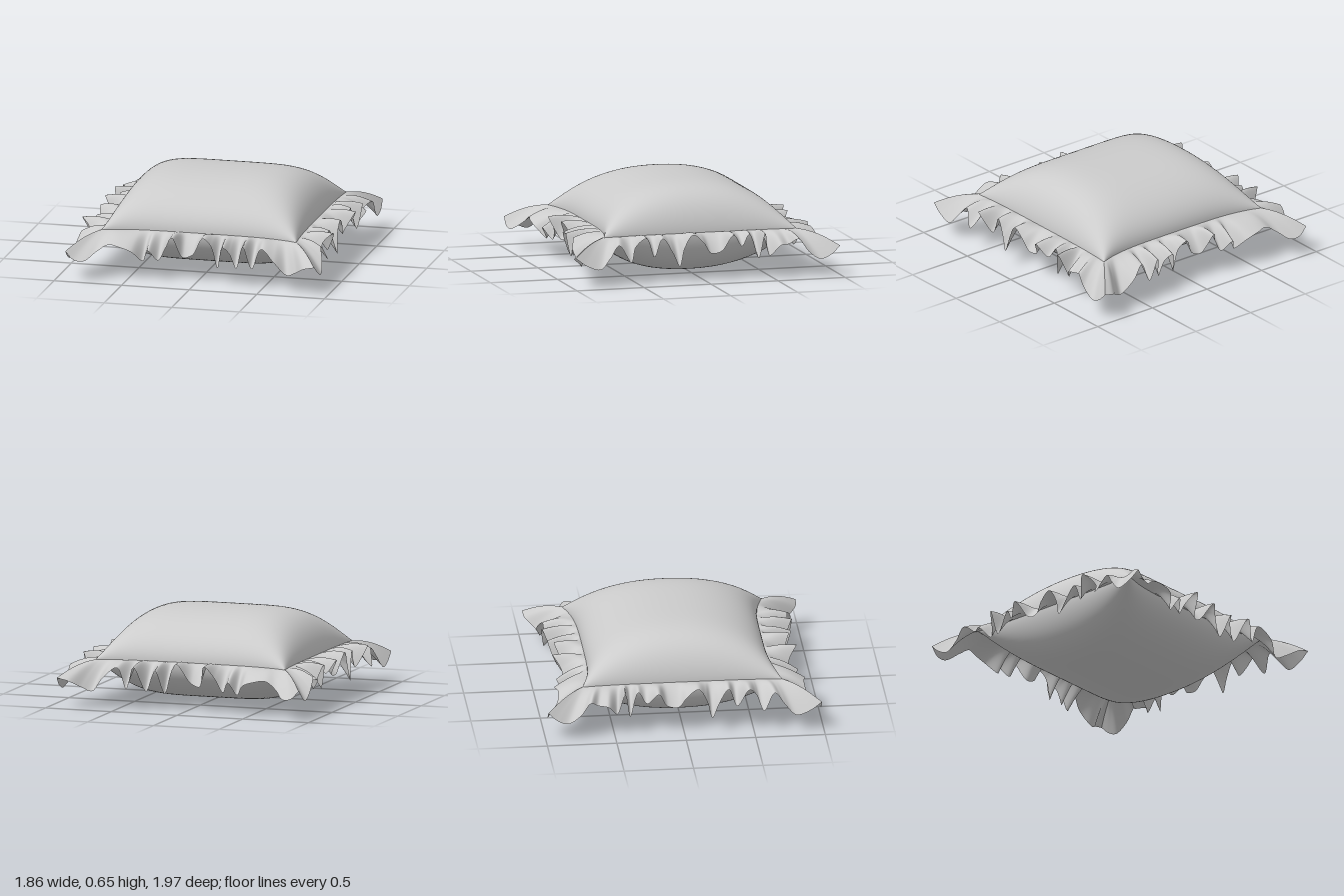
import * as THREE from 'three';

const SEAM = 0.325;
const material = new THREE.MeshStandardMaterial({ color: 0xcccccc, side: THREE.DoubleSide });

// Smooth sheet from a rule fn(a, b) -> [x, y, z], with a and b in 0..1
function sheet(name, fn, na, nb, flip = false) {
  const pos = [], index = [];
  for (let j = 0; j <= nb; j++)
    for (let i = 0; i <= na; i++) pos.push(...fn(i / na, j / nb));
  for (let j = 0; j < nb; j++) {
    for (let i = 0; i < na; i++) {
      const a = j * (na + 1) + i, b = a + 1, c = a + na + 1, d = c + 1;
      if (flip) index.push(a, b, c, b, d, c);
      else index.push(a, c, b, b, c, d);
    }
  }
  const g = new THREE.BufferGeometry();
  g.setAttribute('position', new THREE.Float32BufferAttribute(pos, 3));
  g.setIndex(index);
  g.computeVertexNormals();
  const mesh = new THREE.Mesh(g, material);
  mesh.name = name;
  return mesh;
}

// Seam outline: sides pull inward between the pointed corners
const seamX = (v) => 0.7 + 0.02 * v ** 4;
const seamZ = (u) => 0.645 + 0.075 * u ** 4;

// Pillow half: boxy across x, rounder across z
function pillowHalf(name, dir) {
  return sheet(name, (a, b) => {
    const u = Math.sin((a - 0.5) * Math.PI), v = Math.sin((b - 0.5) * Math.PI);
    const f = Math.max(0, 1 - Math.abs(u) ** 5) ** 0.6;
    const g = Math.max(0, 1 - Math.abs(v) ** 2.2) ** 0.5;
    return [u * seamX(v), SEAM + dir * SEAM * f * g, v * seamZ(u)];
  }, 64, 64, dir < 0);
}

// Wavy hems as [distance along, height, distance out]
const frontHem = [
  [-0.92, 0.22, 0.985], [-0.86, 0.16, 0.985], [-0.79, 0.15, 0.97], [-0.71, 0.21, 0.9],
  [-0.63, 0.26, 0.885], [-0.54, 0.25, 0.9], [-0.46, 0.22, 0.89], [-0.39, 0.14, 0.82],
  [-0.34, 0.23, 0.87], [-0.28, 0.15, 0.81], [-0.22, 0.25, 0.82], [-0.16, 0.34, 0.88],
  [-0.1, 0.18, 0.8], [-0.03, 0.2, 0.79], [0.06, 0.34, 0.845], [0.11, 0.28, 0.81],
  [0.16, 0.12, 0.81], [0.21, 0.29, 0.875], [0.25, 0.24, 0.83], [0.3, 0.13, 0.82],
  [0.37, 0.31, 0.9], [0.43, 0.15, 0.88], [0.5, 0.3, 0.88], [0.6, 0.22, 0.915],
  [0.69, 0.12, 0.88], [0.76, 0.15, 0.91], [0.84, 0.2, 0.975], [0.92, 0.22, 0.985],
];
const sideHem = [
  [-0.985, 0.22, 0.92], [-0.92, 0.16, 0.925], [-0.84, 0.13, 0.92], [-0.75, 0.19, 0.925],
  [-0.68, 0.28, 0.92], [-0.62, 0.24, 0.87], [-0.55, 0.24, 0.91], [-0.48, 0.16, 0.85],
  [-0.43, 0.33, 0.915], [-0.39, 0.15, 0.88], [-0.33, 0.32, 0.85], [-0.27, 0.24, 0.87],
  [-0.19, 0.33, 0.925], [-0.12, 0.21, 0.86], [-0.04, 0.2, 0.865], [0.02, 0.28, 0.88],
  [0.1, 0.34, 0.885], [0.16, 0.25, 0.88], [0.2, 0.12, 0.89], [0.25, 0.22, 0.875],
  [0.32, 0.32, 0.86], [0.38, 0.19, 0.86], [0.46, 0.34, 0.93], [0.52, 0.27, 0.86],
  [0.57, 0.17, 0.92], [0.65, 0.29, 0.885], [0.72, 0.21, 0.91], [0.8, 0.13, 0.925],
  [0.9, 0.16, 0.925], [0.985, 0.22, 0.92],
];

// Ruffle strip: pleats grow from the flat seam out to the wavy hem
function ruffle(name, hem, reach, seam, place, flip) {
  const curve = new THREE.CatmullRomCurve3(hem.map((p) => new THREE.Vector3(...p)));
  return sheet(name, (a, t) => {
    const p = curve.getPoint(a);
    const k = THREE.MathUtils.clamp(p.x / reach, -1, 1);
    // pleats run straight in the middle and mitre towards the corners
    const along = p.x + (k * 0.72 - p.x) * Math.abs(k) ** 3;
    const s = THREE.MathUtils.clamp(along / 0.72, -1, 1);
    const y = SEAM + (p.y - SEAM) * t ** 1.2 + 0.015 * Math.sin(Math.PI * t);
    return place(along + (p.x - along) * t, y, seam(s) + (p.z - seam(s)) * t);
  }, 260, 12, flip);
}

export function createModel() {
  const group = new THREE.Group();
  group.name = 'ruffledCushion';
  group.add(pillowHalf('pillowTop', 1), pillowHalf('pillowBottom', -1));
  for (const m of [1, -1]) {
    group.add(
      ruffle(m > 0 ? 'frontRuffle' : 'backRuffle', frontHem, 0.92, seamZ,
        (along, y, out) => [along, y, m * out], m < 0),
      ruffle(m > 0 ? 'leftRuffle' : 'rightRuffle', sideHem, 0.985, seamX,
        (along, y, out) => [m * out, y, along], m > 0),
    );
  }
  return group;
}
